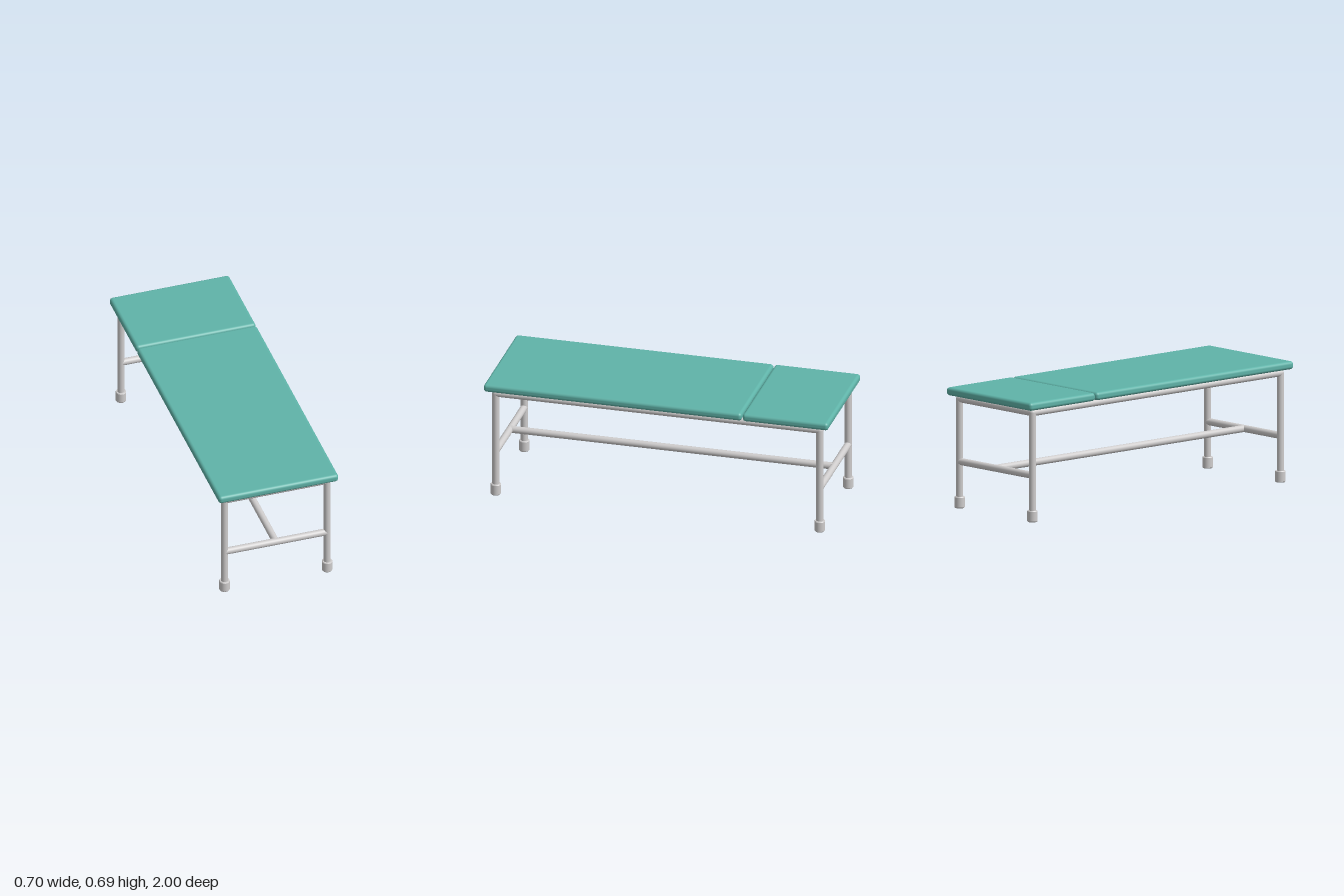
import * as THREE from 'three';
import { RoundedBoxGeometry } from 'three/addons/geometries/RoundedBoxGeometry.js';

export function createModel() {
  const model = new THREE.Group();
  model.name = 'treatmentCouch';

  const padding = new THREE.MeshStandardMaterial({ name: 'teal padding', color: 0x5fb3a8 });
  const steel = new THREE.MeshStandardMaterial({ name: 'pale grey steel', color: 0xcfcdcd });

  const R = 0.02, legX = 0.302, legZ = 0.94, railY = 0.62, braceY = 0.264;

  const add = (name, geometry, material, x = 0, y = 0, z = 0) => {
    const mesh = new THREE.Mesh(geometry, material);
    mesh.name = name;
    mesh.position.set(x, y, z);
    model.add(mesh);
    return mesh;
  };

  // Straight round tube between two points
  const tube = (name, a, b) => {
    const from = new THREE.Vector3(...a), to = new THREE.Vector3(...b);
    const dir = to.clone().sub(from);
    const mesh = add(name, new THREE.CylinderGeometry(R, R, dir.length(), 24), steel);
    mesh.position.copy(from).add(to).multiplyScalar(0.5);
    mesh.quaternion.setFromUnitVectors(new THREE.Vector3(0, 1, 0), dir.normalize());
  };

  // Padded cushions: long body section and short head section
  const cushion = (name, z0, z1) =>
    add(name, new RoundedBoxGeometry(0.705, 0.046, z1 - z0, 5, 0.018), padding, 0, 0.663, (z0 + z1) / 2);
  cushion('bodyCushion', -0.497, 1);
  cushion('headCushion', -1, -0.503);

  // Foot cap profile with chamfered rims, doubled points keep the edges crisp
  const footProfile = [
    [0, 0], [0.026, 0], [0.026, 0], [0.03, 0.005], [0.03, 0.005],
    [0.03, 0.06], [0.03, 0.06], [0.027, 0.065], [0.027, 0.065], [0, 0.065],
  ].map(([r, y]) => new THREE.Vector2(r, y));
  const footGeometry = new THREE.LatheGeometry(footProfile, 24);
  const cornerGeometry = new THREE.SphereGeometry(R, 24, 16);

  for (const sz of [-1, 1]) {
    const z = sz * legZ;
    // Legs with rounded top joints and foot caps
    for (const sx of [-1, 1]) {
      const x = sx * legX;
      tube('leg', [x, 0.03, z], [x, railY, z]);
      add('cornerJoint', cornerGeometry, steel, x, railY, z);
      add('footCap', footGeometry, steel, x, 0, z);
    }
    // End rail and lower cross brace
    tube('endRail', [-legX, railY, z], [legX, railY, z]);
    tube('crossBrace', [-legX, braceY, z], [legX, braceY, z]);
  }

  // Long side rails and the central stretcher
  for (const sx of [-1, 1]) tube('sideRail', [sx * legX, railY, -legZ], [sx * legX, railY, legZ]);
  tube('centreStretcher', [0, braceY, -legZ], [0, braceY, legZ]);

  return model;
}
